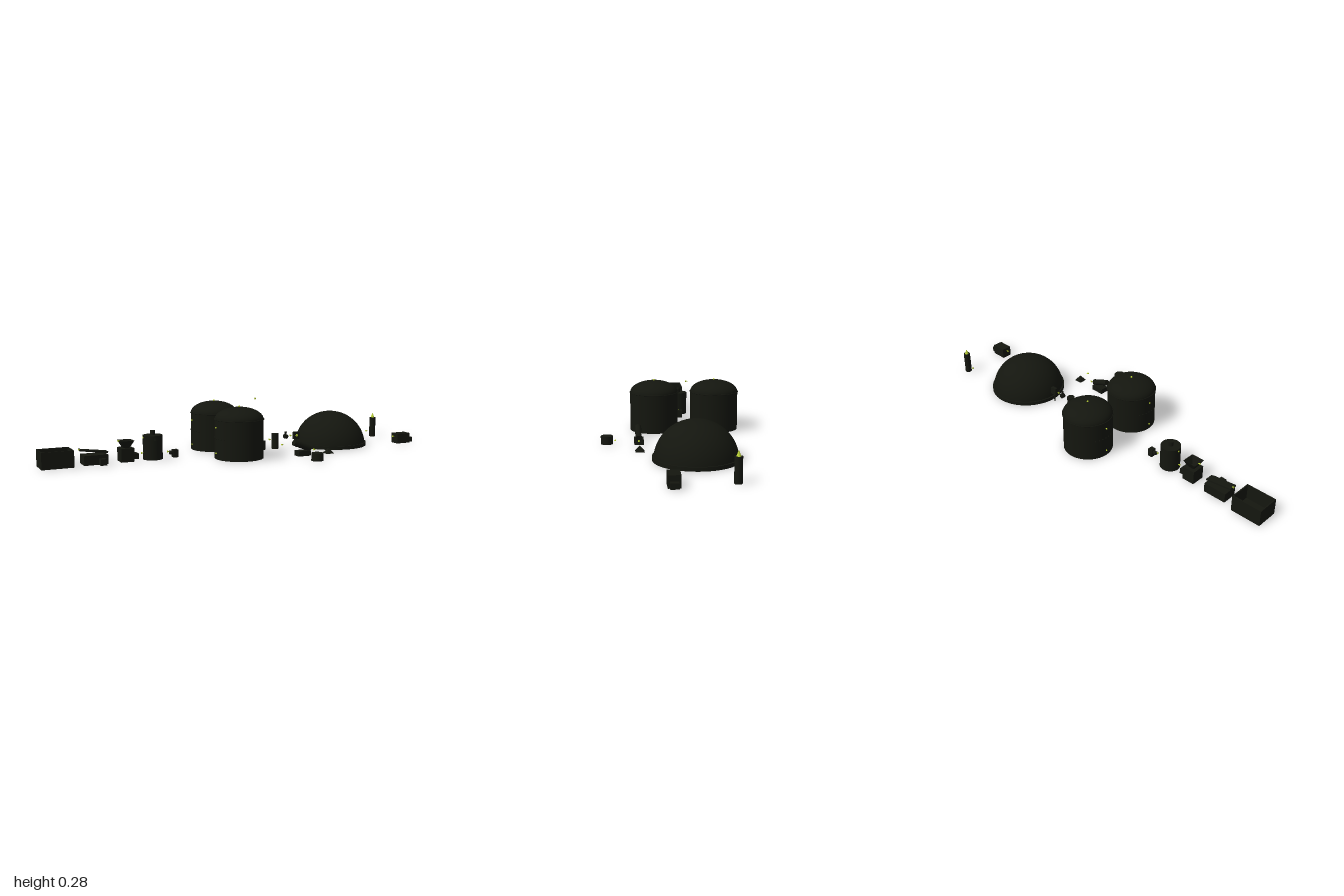
import * as THREE from 'three';

export function createModel() {
  const root = new THREE.Group();
  root.name = 'biogasPlant';
  const dark = new THREE.MeshStandardMaterial({ color: 0x14160f, side: THREE.DoubleSide });
  const lime = new THREE.MeshStandardMaterial({ color: 0xb9d035 });
  const L = -0.07; // centre line of the main row

  const add = (name, geo, x, y, z, mat = dark) => {
    const m = new THREE.Mesh(geo, mat);
    m.name = name;
    m.position.set(x, y, z);
    root.add(m);
    return m;
  };
  // box given by its x, y and z ranges
  const box = (name, x0, x1, y0, y1, z0, z1) =>
    add(name, new THREE.BoxGeometry(x1 - x0, y1 - y0, z1 - z0), (x0 + x1) / 2, (y0 + y1) / 2, (z0 + z1) / 2);
  // upright cylinder from y0 to y1
  const cyl = (name, r, y0, y1, x, z, seg = 32) =>
    add(name, new THREE.CylinderGeometry(r, r, y1 - y0, seg), x, (y0 + y1) / 2, z);
  // flow arrow pointing along a direction
  const arrow = (x, y, z, dx = 1, dy = 0, dz = 0) => {
    const m = add('flowArrow', new THREE.ConeGeometry(0.005, 0.013, 12), x, y, z, lime);
    m.quaternion.setFromUnitVectors(new THREE.Vector3(0, 1, 0), new THREE.Vector3(dx, dy, dz));
  };
  // split a four-sided geometry into flat faces
  const faceted = (geo) => {
    const flat = geo.rotateY(Math.PI / 4).toNonIndexed();
    flat.computeVertexNormals();
    return flat;
  };

  // open receiving bin
  box('binFloor', -1, -0.85, 0, 0.008, -0.127, -0.015);
  for (const [a, b] of [[-1, -0.994], [-0.856, -0.85]]) box('binEndWall', a, b, 0, 0.08, -0.127, -0.015);
  for (const [a, b] of [[-0.127, -0.121], [-0.021, -0.015]]) box('binSideWall', -1, -0.85, 0, 0.08, a, b);

  // feed conveyor
  box('conveyorBase', -0.8, -0.685, 0, 0.046, -0.108, -0.033);
  const belt = add('conveyorBelt', new THREE.BoxGeometry(0.135, 0.007, 0.04), -0.747, 0.062, L);
  belt.rotation.z = -0.13;
  box('conveyorMotor', -0.73, -0.7, 0, 0.03, -0.033, -0.002);
  arrow(-0.81, 0.072, L);

  // crusher with a square funnel
  box('crusherBody', -0.62, -0.556, 0, 0.066, L - 0.034, L + 0.034);
  add('crusherFunnel', faceted(new THREE.CylinderGeometry(0.047, 0.02, 0.036, 4, 1, true)), -0.588, 0.083, L);
  box('crusherMotor', -0.556, -0.53, 0.01, 0.036, L - 0.022, L + 0.022);
  arrow(-0.62, 0.1, L);

  // mixing tank
  cyl('mixingTank', 0.048, 0, 0.118, -0.452, L);
  cyl('mixerMotor', 0.012, 0.118, 0.14, -0.452, L);
  box('mixingTankNozzle', -0.458, -0.446, 0.095, 0.107, -0.03, -0.014);
  arrow(-0.505, 0.033, L);
  arrow(-0.495, 0.107, L);

  // feed pump
  box('pumpBody', -0.35, -0.325, 0, 0.038, L - 0.014, L + 0.014);
  const pumpMotor = add('pumpMotor', new THREE.CylinderGeometry(0.01, 0.01, 0.02, 20), -0.355, 0.024, L);
  pumpMotor.rotation.z = Math.PI / 2;
  arrow(-0.371, 0.03, L);

  // two domed digesters
  const tankProfile = [[0, 0], [0.12, 0], [0.12, 0], [0.12, 0.19]].map(([r, y]) => new THREE.Vector2(r, y));
  for (let i = 1; i <= 14; i++) {
    const a = (i / 14) * Math.PI / 2;
    tankProfile.push(new THREE.Vector2(Math.cos(a) * 0.12, 0.19 + Math.sin(a) * 0.06));
  }
  for (const z of [0.083, -0.222]) {
    add('digester', new THREE.LatheGeometry(tankProfile, 64), -0.06, 0, z);
    const ring = add('digesterRing', new THREE.TorusGeometry(0.121, 0.0022, 8, 64), -0.06, 0.191, z);
    ring.rotation.x = Math.PI / 2;
    add('topValve', new THREE.SphereGeometry(0.0045, 16, 12), -0.06, 0.253, z, lime);
    for (const y of [0.03, 0.155]) add('sensor', new THREE.SphereGeometry(0.004, 12, 8), -0.184, y, z, lime);
    // small wall pegs on the feed side
    for (let i = -3; i <= 3; i++) {
      const a = i * 0.16;
      add('wallPeg', new THREE.SphereGeometry(0.003, 8, 6), -0.06 - 0.121 * Math.cos(a), 0.1, z + 0.121 * Math.sin(a));
    }
  }
  arrow(0.1, 0.27, -0.067, 0, 0, -1);

  // gas treatment row
  cyl('condensateTrap', 0.013, 0, 0.045, 0.152, L);
  cyl('gasScrubber', 0.019, 0, 0.08, 0.222, L);
  arrow(0.13, 0.03, L);
  arrow(0.193, 0.05, L);
  const blower = add('gasBlower', new THREE.CylinderGeometry(0.012, 0.012, 0.018, 24), 0.285, 0.06, L);
  blower.rotation.x = Math.PI / 2;
  cyl('blowerOutlet', 0.006, 0.06, 0.085, 0.285, L, 16);
  arrow(0.318, 0.063, L);
  cyl('meterPost', 0.003, 0, 0.045, 0.348, L, 12);
  box('meterBody', 0.332, 0.365, 0.042, 0.08, L - 0.008, L + 0.008);
  const dial = add('meterDial', new THREE.CylinderGeometry(0.007, 0.007, 0.002, 20), 0.348, 0.062, L + 0.009, lime);
  dial.rotation.x = Math.PI / 2;

  // gas holder dome with a base ring
  const dome = add('gasHolderDome', new THREE.SphereGeometry(0.187, 64, 24, 0, Math.PI * 2, 0, Math.PI / 2), 0.558, 0, L);
  dome.scale.y = 0.963;
  cyl('gasHolderBase', 0.193, 0, 0.018, 0.558, L, 64);

  // screw separator, its drum tilted with the high end towards -x
  box('separatorBase', 0.215, 0.283, 0, 0.026, 0.148, 0.192);
  const drum = add('separatorDrum', new THREE.CylinderGeometry(0.015, 0.015, 0.1, 24), 0.243, 0.051, 0.172);
  drum.rotation.z = Math.PI / 2 - 0.36;
  arrow(0.135, 0.063, 0.172);
  arrow(0.318, 0.026, 0.172);

  // solids heap
  add('solidsHeap', faceted(new THREE.ConeGeometry(0.03, 0.028, 4)), 0.4, 0.014, 0.17);

  // liquid store
  cyl('liquidTank', 0.029, 0, 0.038, 0.243, 0.32);
  arrow(0.243, 0.015, 0.283, 0, 0, 1);

  // generator set
  box('generatorHousing', 0.895, 0.976, 0, 0.053, 0.03, 0.083);
  box('generatorEnd', 0.976, 1, 0.003, 0.028, 0.039, 0.075);
  arrow(0.888, 0.037, 0.056);

  // flare stack
  cyl('flareStack', 0.017, 0, 0.11, 0.926, -0.197);
  add('flareFlame', new THREE.ConeGeometry(0.01, 0.026, 20), 0.926, 0.123, -0.197, lime);
  arrow(0.888, 0.033, -0.197);

  return root;
}
